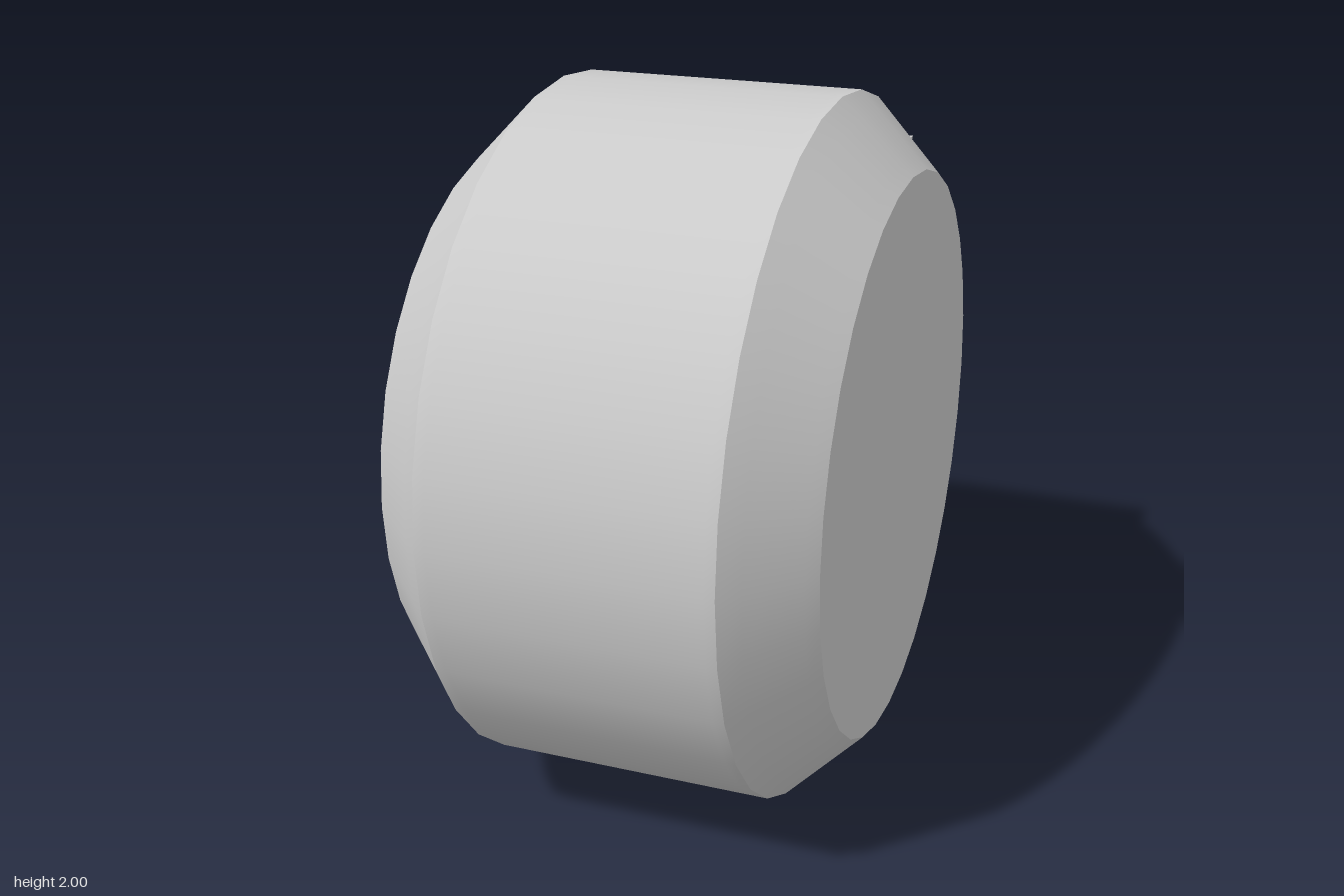
import * as THREE from 'three';
import { toCreasedNormals } from 'three/addons/utils/BufferGeometryUtils.js';

const FLAT = 0.76;          // depth of the flat cut on the back
const WEDGE = 0.41;         // angle where the cheek meets the flat cut
const STEP = Math.PI / 16;  // 32-sided drum

const lerp = THREE.MathUtils.lerp;
const polar = (r, a) => [r * Math.cos(a), r * Math.sin(a)];

// One drum cross-section as [depth towards the back, height from the axis]
function section(r, groove) {
  const a1 = Math.max(Math.acos(Math.min(1, FLAT / r)), WEDGE);
  const half = [];
  if (groove) {
    // concave channel behind the handle
    for (let i = 0; i <= 4; i++) {
      const dy = [0, 0.05, 0.1, 0.2, 0.27][i];
      half.push([FLAT - 0.11 * (1 - (dy / 0.33) ** 2), dy]);
    }
    half.push([FLAT, 0.33]);
  } else {
    // raised cheek with sloping shoulders
    const t = THREE.MathUtils.clamp((r - 0.83) / 0.17, 0, 1);
    const a3 = lerp(WEDGE, 0.12, t);
    const p3 = polar(r, a3);
    const p2 = r > 0.83 ? [FLAT, 0.33] : polar(r, WEDGE);
    half.push([r, 0], polar(r, a3 / 2), p3);
    for (const s of [0.5, 0.8]) half.push([lerp(p3[0], p2[0], s), lerp(p3[1], p2[1], s)]);
    half.push(p2);
  }
  half.push(polar(r, a1), polar(r, lerp(a1, 4 * STEP, 0.5)));
  for (let i = 4; i < 16; i++) half.push(polar(r, i * STEP));
  const lower = half.slice(1).reverse().map(([w, dy]) => [w, -dy]);
  return [...half, [-r, 0], ...lower];
}

// Drum lofted along x, with end caps
function drumGeometry() {
  const right = [[0.3, 1, true], [0.37, 1, false], [0.4, 1, false]];
  for (const r of [0.95, 0.9, 0.86, 0.83, 0.8]) right.push([1.4 - r, r, false]);
  const stations = [...right.map(([x, r, g]) => [-x, r, g]).reverse(), ...right];
  const pos = [], index = [];
  let n = 0;
  for (const [x, r, g] of stations) {
    const loop = section(r, g);
    n = loop.length;
    for (const [w, dy] of loop) pos.push(x, 1 + dy, -w);
  }
  const last = stations.length - 1;
  for (let i = 0; i < last; i++) {
    for (let j = 0; j < n; j++) {
      const k = (j + 1) % n, a = i * n, b = a + n;
      index.push(a + j, a + k, b + j, a + k, b + k, b + j);
    }
  }
  const c = pos.length / 3;
  pos.push(-0.6, 1, 0, 0.6, 1, 0);
  for (let j = 0; j < n; j++) {
    const k = (j + 1) % n;
    index.push(c, k, j, c + 1, last * n + j, last * n + k);
  }
  const geo = new THREE.BufferGeometry();
  geo.setAttribute('position', new THREE.Float32BufferAttribute(pos, 3));
  geo.setIndex(index);
  return toCreasedNormals(geo, 0.35);
}

const polygon = (pts) => new THREE.Shape(pts.map(([x, y]) => new THREE.Vector2(x, y)));

// Long octagon with softened corners
function slotOutline(hw, hh, cut, target) {
  const p = [[hw, hh - cut], [hw - cut, hh], [cut - hw, hh], [-hw, hh - cut],
    [-hw, cut - hh], [cut - hw, -hh], [hw - cut, -hh], [hw, cut - hh]];
  target.moveTo(...p[0]);
  for (let i = 0; i < 8; i += 2) {
    const [x, y] = p[i], [u, v] = p[i + 1];
    target.lineTo(x, y);
    const cx = Math.sign(x + u) * (hw - cut * 0.2), cy = Math.sign(y + v) * (hh - cut * 0.2);
    target.quadraticCurveTo(cx, cy, u, v);
  }
  target.closePath();
  return target;
}

// Hollow port, narrowing a little towards its rim
function portGeometry() {
  const shape = slotOutline(0.32, 0.105, 0.09, new THREE.Shape());
  shape.holes.push(slotOutline(0.285, 0.075, 0.07, new THREE.Path()));
  const geo = new THREE.ExtrudeGeometry(shape, { depth: 0.12, bevelEnabled: false, curveSegments: 5 });
  const p = geo.attributes.position;
  for (let i = 0; i < p.count; i++) {
    const s = 1 - p.getZ(i) * 0.9;
    p.setXY(i, p.getX(i) * s, p.getY(i) * s);
  }
  geo.rotateY(Math.PI);
  return toCreasedNormals(geo, 0.6);
}

// Profile in [depth, height], extruded across x
function acrossGeometry(pts, width) {
  const geo = new THREE.ExtrudeGeometry(polygon(pts), { depth: width, bevelEnabled: false });
  return geo.translate(0, 0, -width / 2).rotateY(Math.PI / 2);
}

export function createModel() {
  const model = new THREE.Group();
  const mat = new THREE.MeshStandardMaterial({ color: 0xcccccc, side: THREE.DoubleSide });
  const add = (name, geo, y = 1, z = 0) => {
    const mesh = new THREE.Mesh(geo, mat);
    mesh.name = name;
    mesh.position.set(0, y, z);
    model.add(mesh);
  };

  add('drum', drumGeometry(), 0);

  // Bent grab handle between the cheeks
  const side = [[0.38, 0.85], [0.38, 0.89], [0.3, 0.89], [0.22, 0.988]];
  const inner = [[0.2, 0.945], [0.275, 0.85]];
  const flip = (pts) => pts.map(([x, w]) => [-x, w]).reverse();
  const outline = [...side, ...flip(side), ...flip(inner).map((p) => p), ...inner];
  const handle = new THREE.ExtrudeGeometry(polygon(outline), {
    depth: 0.03, bevelThickness: 0.012, bevelSize: 0.01, bevelSegments: 1,
  });
  add('handle', handle.translate(0, 0, -0.015).rotateX(-Math.PI / 2));

  // Ports, lips and seal bars, mirrored above and below
  for (const [label, s] of [['upper', 1], ['lower', -1]]) {
    const mirrored = (pts) => pts.map(([w, dy]) => [w, s * dy]);
    add(label + 'Port', portGeometry(), 1 + s * 0.48, -0.75);
    add(label + 'Lip', acrossGeometry(mirrored([[0.7, 0.71], [0.835, 0.71], [0.76, 0.635], [0.7, 0.635]]), 0.8));
    add(label + 'SealBar', acrossGeometry(mirrored([[0.75, 0.645], [0.85, 0.645], [0.86, 0.655],
      [0.86, 0.677], [0.85, 0.687], [0.75, 0.687]]), 0.74));
  }
  return model;
}
